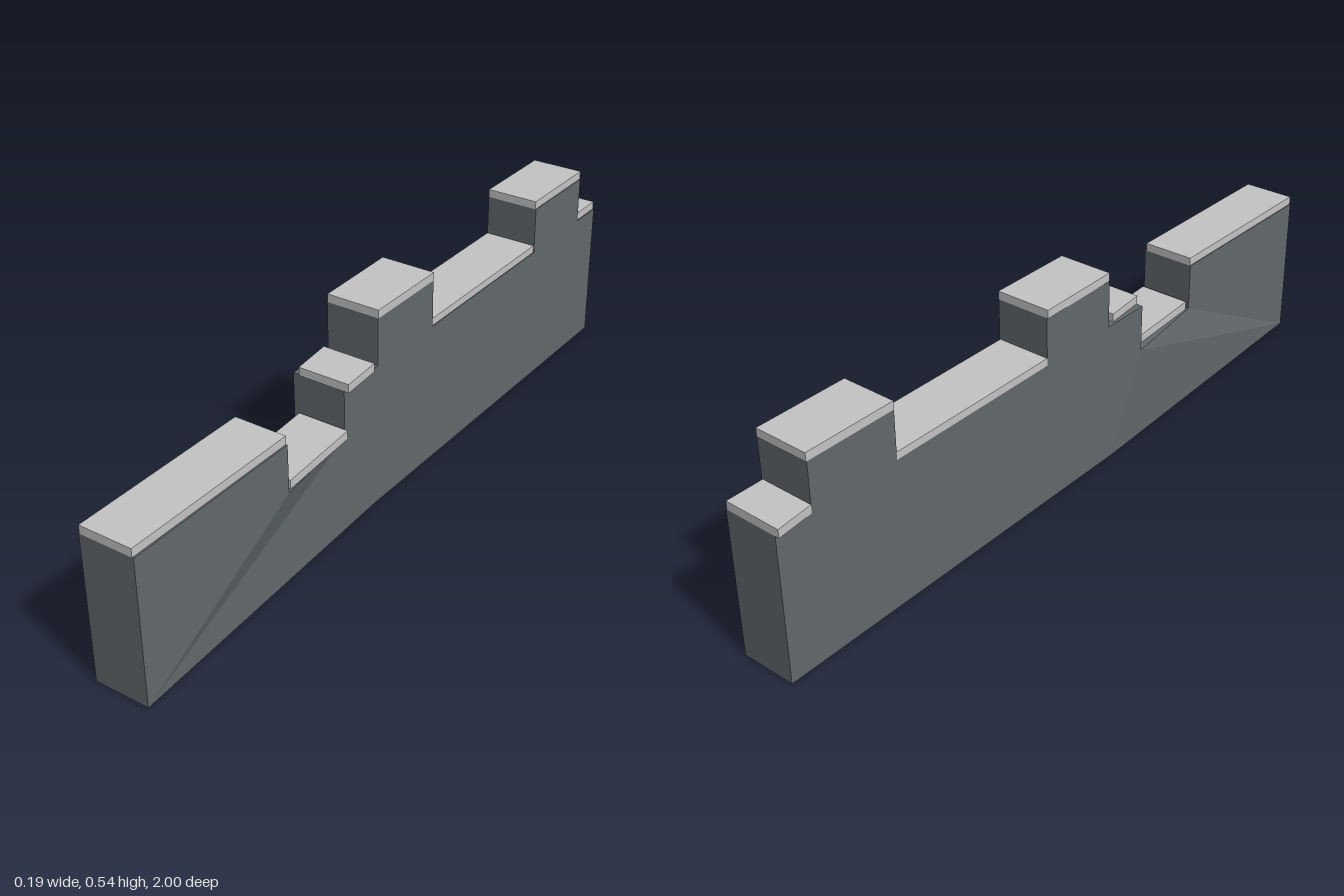
import * as THREE from 'three';

const stone = new THREE.MeshStandardMaterial({ color: 0x62686b });
stone.name = 'dark grey stone';
const capstone = new THREE.MeshStandardMaterial({ color: 0xc4c4c4 });
capstone.name = 'light grey capstone';

const LEFT = -0.085, RIGHT = 0.063, BEND = 0.033;

// Side profile points: [z, y, sideways shift]
const tail = [[-1, 0, 0], [-1, 0.39, 0], [-0.9, 0.39, 0], [-0.9, 0.518, 0], [-0.65, 0.518, 0],
  [-0.65, 0.39, 0], [-0.14, 0.39, 0], [-0.14, 0.518, 0], [0.1, 0.518, 0], [0.1, 0.39, 0],
  [0.24, 0.39, 0], [0.24, 0.262, 0], [0.12, 0, 0]];
const notch = [0.5, 0.262, BEND], toe = [1, 0, BEND];
const head = [notch, [0.5, 0.39, BEND], [1, 0.39, BEND], toe];
// The side skin is made of flat facets so that the bend stays crisp
const facets = [tail, [tail[12], tail[11], toe], [tail[11], notch, toe], head];
const outline = [...tail.slice(0, 12), ...head, tail[12]];

function wallGeometry() {
  const pos = [];
  const put = (p, x) => pos.push(x + p[2], p[1], p[0]);
  // Both long sides
  for (const facet of facets) {
    const pts = facet.map(p => new THREE.Vector2(p[0], p[1]));
    for (const tri of THREE.ShapeUtils.triangulateShape(pts, [])) {
      const [a, b, c] = tri.map(i => facet[i]);
      const area = (b[0] - a[0]) * (c[1] - a[1]) - (b[1] - a[1]) * (c[0] - a[0]);
      const order = area < 0 ? [a, b, c] : [a, c, b];
      order.forEach(p => put(p, RIGHT));
      order.reverse().forEach(p => put(p, LEFT));
    }
  }
  // Tops, steps, ends and underside
  outline.forEach((a, i) => {
    const b = outline[(i + 1) % outline.length];
    put(a, LEFT); put(b, LEFT); put(b, RIGHT);
    put(a, LEFT); put(b, RIGHT); put(a, RIGHT);
  });
  const geo = new THREE.BufferGeometry();
  geo.setAttribute('position', new THREE.Float32BufferAttribute(pos, 3));
  geo.computeVertexNormals();
  return geo;
}

// Slab whose left and right edges may differ at its back and front
function capGeometry([z0, z1, y0, y1, backLeft, backRight, frontLeft, frontRight]) {
  const geo = new THREE.BoxGeometry(1, y1 - y0, z1 - z0).toNonIndexed();
  geo.translate(0, (y0 + y1) / 2, (z0 + z1) / 2);
  const p = geo.attributes.position, mid = (z0 + z1) / 2;
  for (let i = 0; i < p.count; i++) {
    const front = p.getZ(i) > mid, right = p.getX(i) > 0;
    p.setX(i, front ? (right ? frontRight : frontLeft) : (right ? backRight : backLeft));
  }
  geo.computeVertexNormals();
  return geo;
}

export function createModel() {
  const model = new THREE.Group();
  model.name = 'steppedWall';
  const add = (name, geo, mat) => {
    const mesh = new THREE.Mesh(geo, mat);
    mesh.name = name;
    model.add(mesh);
  };
  add('wall', wallGeometry(), stone);

  // zBack, zFront, yLow, yHigh, back left/right x, front left/right x
  const caps = {
    backEndCap: [-1, -0.9, 0.39, 0.412, -0.096, 0.06, -0.085, 0.06],
    backTowerCap: [-0.902, -0.65, 0.518, 0.54, -0.085, 0.061, -0.085, 0.061],
    middleCap: [-0.65, -0.14, 0.388, 0.41, -0.085, 0.061, -0.085, 0.061],
    middleTowerCap: [-0.14, 0.1, 0.518, 0.54, -0.088, 0.064, -0.084, 0.064],
    stepCap: [0.128, 0.243, 0.389, 0.412, -0.077, 0.071, -0.066, 0.078],
    notchCap: [0.246, 0.488, 0.264, 0.287, -0.066, 0.076, -0.051, 0.091],
    frontCap: [0.5, 1, 0.39, 0.412, -0.05, 0.092, -0.05, 0.092],
  };
  for (const [name, c] of Object.entries(caps)) add(name, capGeometry(c), capstone);
  return model;
}
